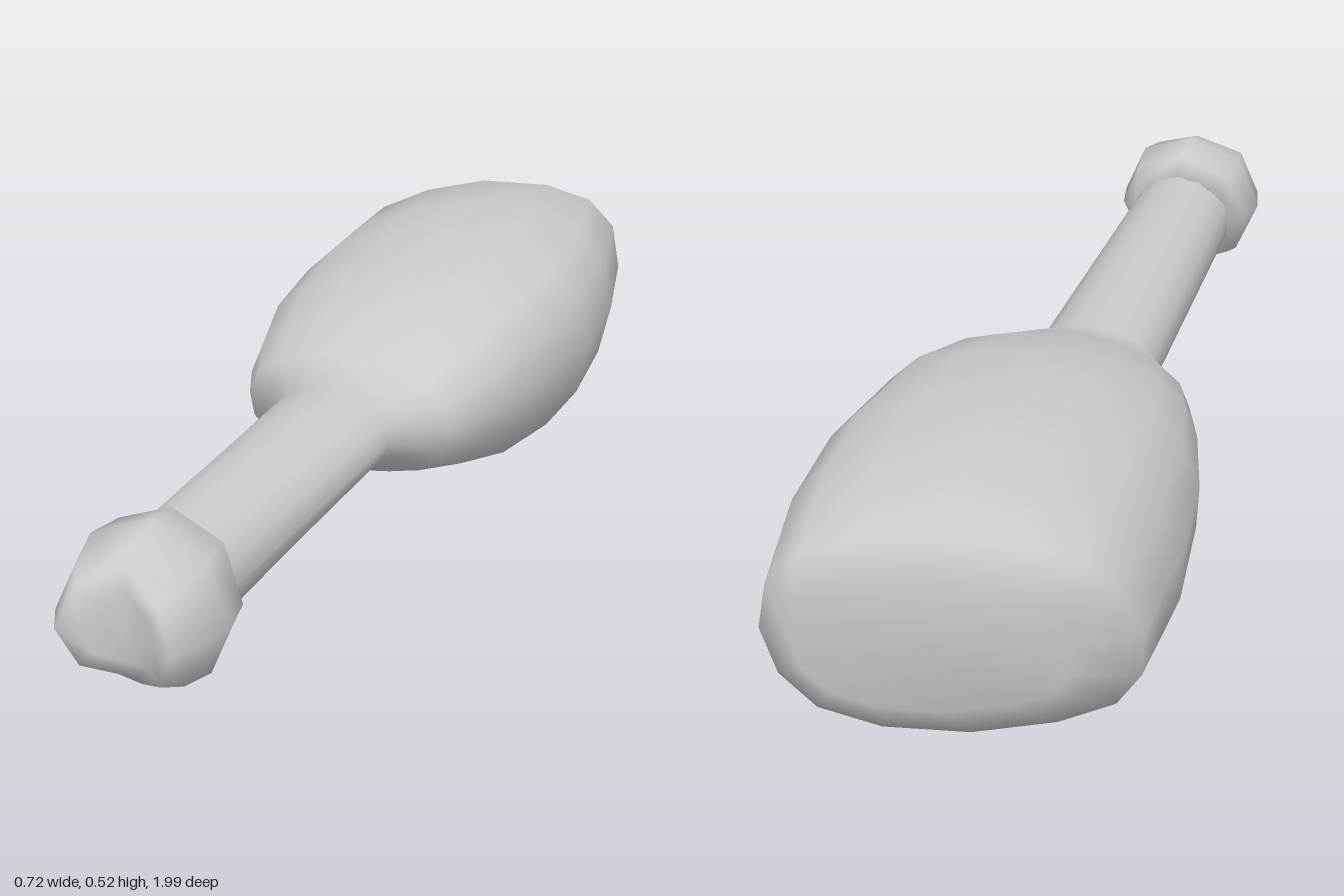
import * as THREE from 'three';
import { mergeVertices } from 'three/addons/utils/BufferGeometryUtils.js';

const grey = () => new THREE.MeshStandardMaterial({ color: 0xcccccc, side: THREE.DoubleSide });

// Unit circle with n points, counter-clockwise seen from the front
const circle = (n) => Array.from({ length: n }, (_, j) => {
  const a = (j / n) * Math.PI * 2;
  return [Math.cos(a), Math.sin(a)];
});

// Skins a list of rings (arrays of [x, y, z]) ordered from front to back
function loft(name, rings) {
  const n = rings[0].length, index = [];
  for (let i = 0; i < rings.length - 1; i++) {
    for (let j = 0; j < n; j++) {
      const a = i * n + j, b = i * n + (j + 1) % n;
      index.push(a, a + n, b, b, a + n, b + n);
    }
  }
  const geo = new THREE.BufferGeometry();
  geo.setAttribute('position', new THREE.Float32BufferAttribute(rings.flat(2), 3));
  geo.setIndex(index);
  const merged = mergeVertices(geo, 1e-4);
  merged.computeVertexNormals();
  const mesh = new THREE.Mesh(merged, grey());
  mesh.name = name;
  return mesh;
}

// Lopsided oval of the meat, counter-clockwise from +x
const oval = [
  [0.358, 0.295], [0.335, 0.405], [0.27, 0.475], [0.16, 0.512],
  [0.0, 0.52], [-0.14, 0.49], [-0.25, 0.44], [-0.32, 0.37],
  [-0.36, 0.255], [-0.355, 0.145], [-0.305, 0.07], [-0.19, 0.023],
  [-0.02, 0.0], [0.15, 0.022], [0.27, 0.08], [0.335, 0.175],
].map(([x, y]) => [x / 0.36, (y - 0.26) / 0.26]);

// Shank and meat: z, centre x, centre y, half width, half height, oval blend, slant over x
function buildMeat() {
  const round = circle(16);
  const sections = [
    [0.80, 0.00, 0.325, 0.00, 0.00, 0, 0],
    [0.78, 0.00, 0.325, 0.113, 0.115, 0, 0],
    [0.08, -0.005, 0.295, 0.135, 0.09, 0, 0],
    [-0.02, -0.005, 0.288, 0.235, 0.132, 0.5, 0],
    [-0.12, 0.0, 0.285, 0.285, 0.175, 0.8, 0],
    [-0.28, 0.0, 0.275, 0.335, 0.225, 1, 0],
    [-0.50, 0.0, 0.26, 0.36, 0.26, 1, 0.06],
    [-0.68, -0.01, 0.26, 0.35, 0.255, 1, 0.18],
    [-0.875, -0.04, 0.258, 0.32, 0.238, 1, 0.37],
    [-0.925, -0.02, 0.275, 0.235, 0.16, 1, 0.33],
    [-0.905, 0.0, 0.28, 0.00, 0.00, 1, 0],
  ];
  return loft('meat', sections.map(([z, cx, cy, w, h, k, slant]) => round.map(([ux, uy], j) => {
    const x = cx + w * THREE.MathUtils.lerp(ux, oval[j][0], k);
    const y = cy + h * THREE.MathUtils.lerp(uy, oval[j][1], k);
    return [x, y, z - slant * x - slant * 0.25 * (y - cy)];
  })));
}

// Bone end: z, radius, how far the two side lobes push forward
function buildKnuckle() {
  const sections = [
    [0.94, 0, 0],
    [0.94, 0.075, 0.04],
    [0.925, 0.115, 0.07],
    [0.90, 0.145, 0.04],
    [0.84, 0.165, 0.02],
    [0.79, 0.15, 0],
    [0.755, 0.115, 0],
    [0.78, 0.08, 0],
  ];
  return loft('boneKnuckle', sections.map(([z, r, lobe]) => circle(8).map(([ux, uy]) =>
    [0.005 + r * ux, 0.328 + r * uy, z + lobe * Math.abs(ux) - (r > 0.1 && z < 0.8 ? 0.025 * uy : 0)])));
}

export function createModel() {
  const model = new THREE.Group();
  model.name = 'drumstick';
  model.add(buildMeat(), buildKnuckle());
  return model;
}
